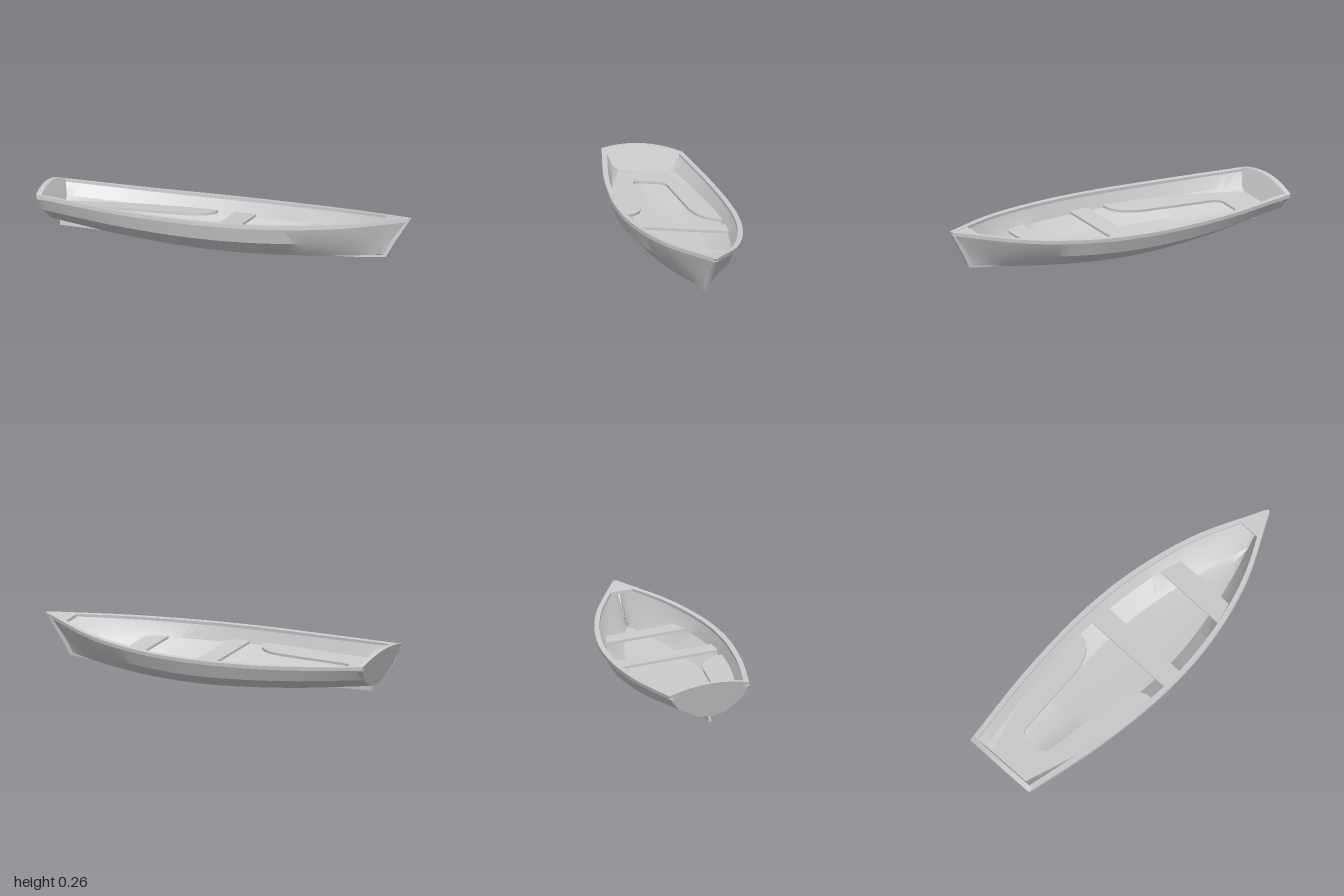
import * as THREE from 'three';
import { toCreasedNormals } from 'three/addons/utils/BufferGeometryUtils.js';

const material = new THREE.MeshStandardMaterial({ color: 0xcccccc });
const skinMaterial = new THREE.MeshStandardMaterial({ color: 0xcccccc, side: THREE.DoubleSide });
const STATIONS = 40;

// Hull lines, stern to bow: x along the boat, y up, z half breadth
const line = (...pts) => new THREE.CatmullRomCurve3(pts.map(p => new THREE.Vector3(...p)));
const keelLine = line([.05, .062, 0], [.5, .03, 0], [.95, .016, 0], [1.35, .016, 0], [1.68, .026, 0], [1.91, .048, 0]);
const lowerChine = line([.045, .073, .07], [.5, .04, .15], [.95, .024, .19], [1.3, .025, .165], [1.65, .036, .085], [1.91, .052, .004]);
const upperChine = line([.02, .138, .173], [.5, .112, .262], [.95, .1, .292], [1.33, .105, .255], [1.69, .12, .145], [1.95, .14, .004]);
const sheer = line([0, .224, .215], [.5, .203, .296], [.95, .199, .324], [1.3, .205, .294], [1.67, .225, .194], [2.04, .262, .004]);

// Skin through rows of points; flip reverses the facing
function loft(rows, flip = false) {
  const n = rows[0].length, index = [];
  for (let j = 0; j < rows.length - 1; j++) {
    for (let i = 0; i < n - 1; i++) {
      const a = j * n + i, b = a + n, c = a + 1, d = b + 1;
      index.push(...(flip ? [a, c, b, b, c, d] : [a, b, c, b, d, c]));
    }
  }
  const geo = new THREE.BufferGeometry();
  geo.setAttribute('position', new THREE.Float32BufferAttribute(rows.flat(2), 3));
  geo.setIndex(index);
  return toCreasedNormals(geo, 0.5);
}

// Rows of hull sections, moved inwards by the plank thickness
function hullRows(inset, lift) {
  const rows = [];
  for (let j = 0; j <= STATIONS; j++) {
    const half = [sheer, upperChine, lowerChine, keelLine].map((c, k) => {
      const p = c.getPoint(j / STATIONS);
      return [p.x, p.y + (k ? lift : 0), Math.max(0, p.z - inset)];
    });
    const left = half.slice(0, 3).reverse();
    rows.push([...half.map(([x, y, z]) => [x, y, -z]), ...left]);
  }
  return rows;
}

// Point on a hull line at a given x
function atX(curve, x) {
  let lo = 0, hi = 1;
  for (let k = 0; k < 24; k++) {
    const mid = (lo + hi) / 2;
    if (curve.getPoint(mid).x < x) lo = mid; else hi = mid;
  }
  return curve.getPoint(lo);
}

// Half breadth available to a seat at x and height y
function innerHalf(x, y) {
  const [a, b, c] = [lowerChine, upperChine, sheer].map(l => atX(l, x));
  const [p, q] = y < b.y ? [a, b] : [b, c];
  return THREE.MathUtils.lerp(p.z, q.z, (y - p.y) / (q.y - p.y)) - .008;
}

// Flat board from a plan outline of [x, z] points
function board(half, top, depth) {
  const outline = [...half, ...half.slice().reverse().map(([x, z]) => [x, -z])];
  const geo = new THREE.ExtrudeGeometry(new THREE.Shape(outline.map(p => new THREE.Vector2(...p))), { depth, bevelEnabled: false });
  return geo.rotateX(Math.PI / 2).translate(0, top, 0);
}

export function createModel() {
  const boat = new THREE.Group();
  boat.name = 'rowingBoat';
  const add = (name, geo, mat = material) => {
    const mesh = new THREE.Mesh(geo, mat);
    mesh.name = name;
    boat.add(mesh);
  };

  // Planking, outside and inside
  add('outerHull', loft(hullRows(0, 0)), skinMaterial);
  add('innerHull', loft(hullRows(.015, .012), true), skinMaterial);

  // Gunwales: rectangular strip along the sheer, closed at both ends
  for (const side of [1, -1]) {
    const rows = [];
    for (let j = 0; j <= STATIONS; j++) {
      const p = sheer.getPoint(j / STATIONS);
      const zi = Math.max(0, p.z - .02), zo = p.z + .009, yb = p.y - .016, yt = p.y + .004;
      const ring = [[zi, yb], [zo, yb], [zo, yt], [zi, yt], [zi, yb]].map(([z, y]) => [p.x, y, z * side]);
      const cap = ring.map(() => [p.x, (yb + yt) / 2, side * (zi + zo) / 2]);
      if (j === 0) rows.push(cap);
      rows.push(ring);
      if (j === STATIONS) rows.push(cap);
    }
    add(side > 0 ? 'leftGunwale' : 'rightGunwale', loft(rows, side < 0));
  }

  // Raked transom with an arched top
  const half = [[0, .06], [.07, .072], [.173, .136], [.215, .2], [.224, .228]];
  for (let k = 7; k >= 0; k--) {
    const z = .224 * k / 8;
    half.push([z, .228 + .035 * (1 - (k / 8) ** 2)]);
  }
  const transomOutline = [...half, ...half.slice(1, -1).reverse().map(([z, y]) => [-z, y])];
  const transom = new THREE.ExtrudeGeometry(new THREE.Shape(transomOutline.map(p => new THREE.Vector2(...p))), { depth: .03, bevelEnabled: false });
  transom.rotateY(Math.PI / 2);
  const pos = transom.attributes.position;
  for (let i = 0; i < pos.count; i++) pos.setX(i, pos.getX(i) + (.226 - pos.getY(i)) * .3 - .003);
  transom.computeVertexNormals();
  add('transom', transom);

  // Keel, skeg and stem cut from one profile
  const profile = new THREE.Shape();
  profile.moveTo(.07, .025);
  profile.splineThru([[.6, .015], [.95, .009], [1.4, .009], [1.75, .023], [1.915, .041]].map(p => new THREE.Vector2(...p)));
  for (const p of [[1.965, .13], [2.05, .266], [2.01, .262], [1.89, .058], [1.7, .034], [1.35, .022], [.95, .022], [.5, .036], [.07, .066]]) profile.lineTo(...p);
  add('keelAndStem', new THREE.ExtrudeGeometry(profile, { depth: .016, bevelEnabled: false, curveSegments: 24 }).translate(0, 0, -.008));

  // U-shaped stern bench with wings along the sides
  const seatTop = .128, seatDepth = .014, under = seatTop - seatDepth;
  const bench = [];
  for (let k = 0; k <= 12; k++) {
    const x = .055 + .815 * k / 12;
    bench.push([x, innerHalf(x, under)]);
  }
  bench.push([.868, .245], [.855, .215], [.83, .185], [.795, .16], [.75, .143], [.68, .13],
    [.3, .096], [.27, .09], [.25, .077], [.242, .055]);
  add('sternBench', board(bench, seatTop, seatDepth));

  // Thwarts
  for (const [name, x] of [['middleThwart', 1.025], ['forwardThwart', 1.488]]) {
    const ends = [-.06, 0, .06].map(d => [x + d, innerHalf(x + d, under)]);
    add(name, board(ends, seatTop, seatDepth));
  }

  // Breasthook filling the bow between the gunwales
  const hook = [];
  for (let k = 0; k <= 6; k++) {
    const p = atX(sheer, 1.9 + .139 * k / 6);
    const t = p.y + .003, b = p.y - .014;
    const ring = [[-p.z, b], [p.z, b], [p.z, t], [-p.z, t], [-p.z, b]].map(([z, y]) => [p.x, y, z]);
    if (k === 0) hook.push(ring.map(() => [p.x, (t + b) / 2, 0]));
    hook.push(ring);
  }
  add('breasthook', loft(hook));

  // Boat lies turned and heeled slightly to its right
  boat.rotation.set(-.11, .352, 0, 'YXZ');
  boat.position.set(-.914, 0, .3);
  const model = new THREE.Group();
  model.name = 'boat';
  model.add(boat);
  return model;
}
